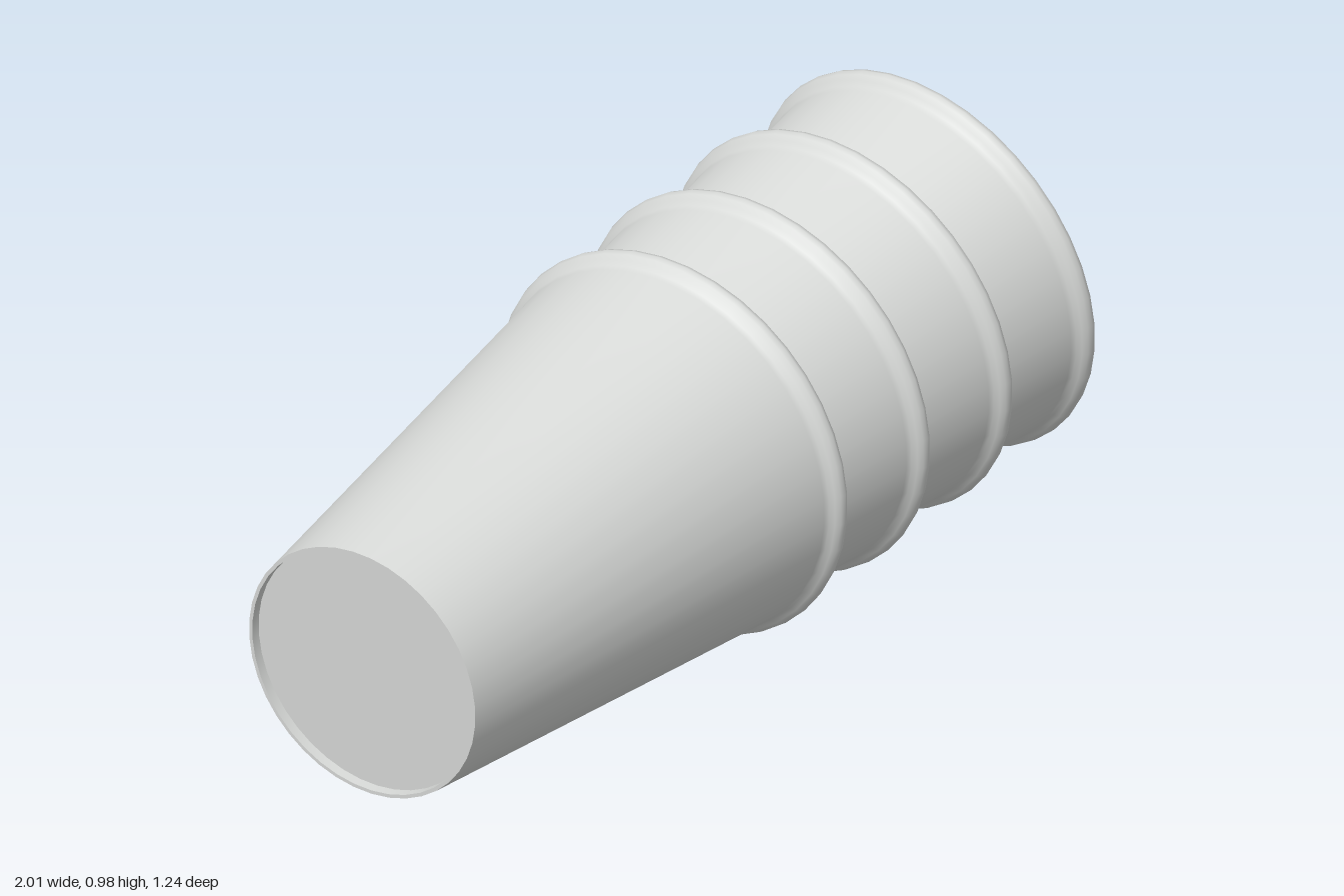
import * as THREE from 'three';
import { toCreasedNormals } from 'three/addons/utils/BufferGeometryUtils.js';

const CUPS = 4;
const RIM = 1.075; // height of the widest point of the lip above the cup's base

// Closed wall section: recessed underside, outer wall, rolled lip, inner wall, floor
function cupGeometry() {
  const profile = [
    [0, 0.022], [0.277, 0.022], [0.277, 0], [0.285, 0],
    [0.41, 1.035], [0.414, 1.047], [0.424, 1.054], [0.432, 1.064],
    [0.435, RIM], [0.432, 1.085], [0.424, 1.091], [0.414, 1.09],
    [0.407, 1.08], [0.404, 1.06], [0.276, 0.032], [0, 0.032],
  ].map(([r, y]) => new THREE.Vector2(r, y));
  return toCreasedNormals(new THREE.LatheGeometry(profile, 40), 0.75);
}

export function createModel() {
  const model = new THREE.Group();
  model.name = 'stackedCups';
  const plastic = new THREE.MeshStandardMaterial({ color: 0xd8dad8 });
  plastic.name = 'paleGrey';

  const geometry = cupGeometry();
  const up = new THREE.Vector3(0, 1, 0);
  const firstRim = new THREE.Vector3(0.11, 0.436, -0.01);
  const lastRim = new THREE.Vector3(0.865, 0.552, -0.204);
  const firstAxis = new THREE.Vector3(1, 0.073, -0.36);
  const lastAxis = new THREE.Vector3(1, 0.145, -0.295);

  // Nested cups lying on their side, each leaning a little more than the last
  for (let i = 0; i < CUPS; i++) {
    const t = i / (CUPS - 1);
    const axis = firstAxis.clone().lerp(lastAxis, t).normalize();
    const cup = new THREE.Mesh(geometry, plastic);
    cup.name = `cup${i + 1}`;
    cup.quaternion.setFromUnitVectors(up, axis);
    cup.position.lerpVectors(firstRim, lastRim, t).addScaledVector(axis, -RIM);
    model.add(cup);
  }
  return model;
}
